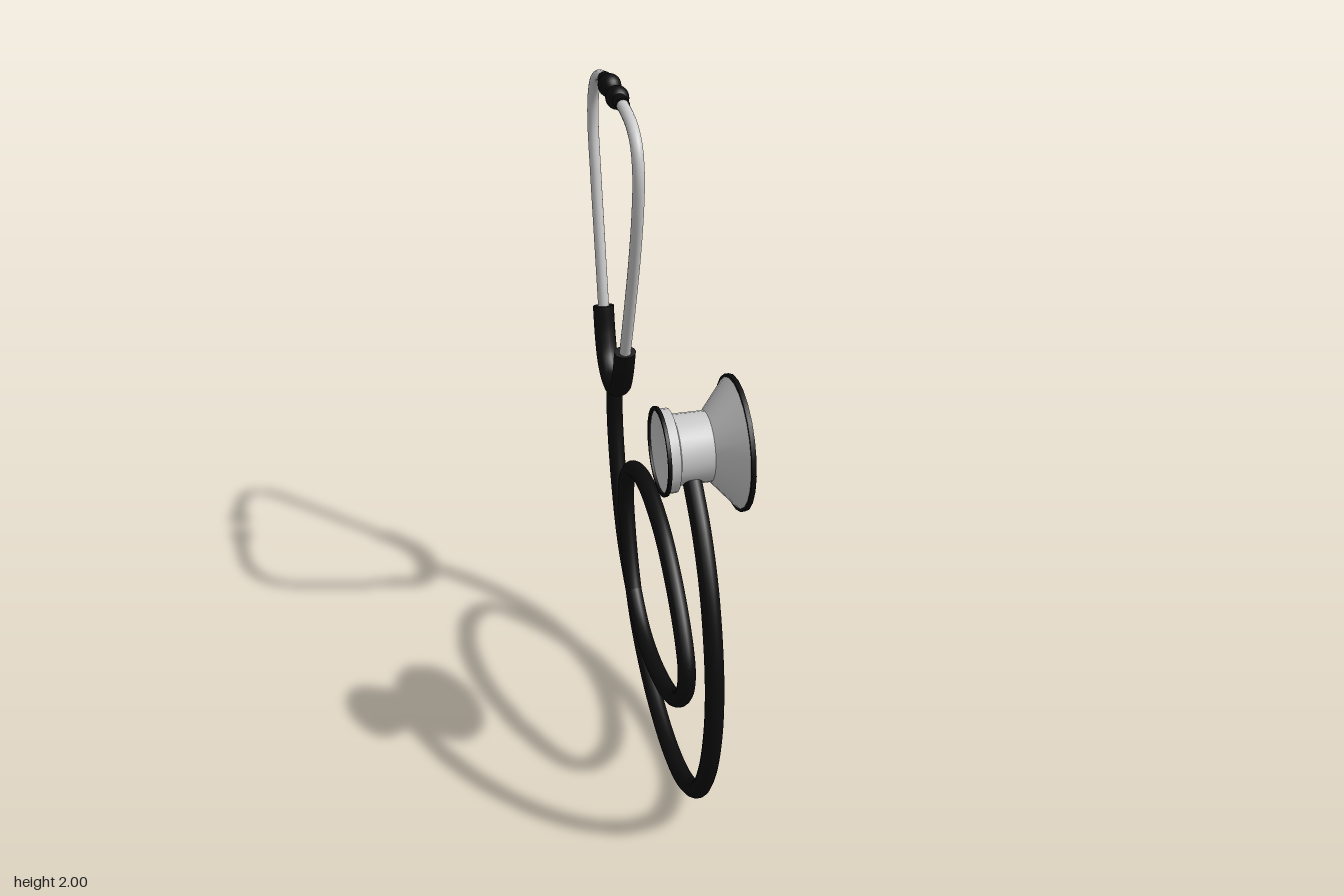
import * as THREE from 'three';
import { mergeGeometries, toCreasedNormals } from 'three/addons/utils/BufferGeometryUtils.js';

const metal = new THREE.MeshStandardMaterial({ color: 0xcccccc });
const rubber = new THREE.MeshStandardMaterial({ color: 0x0c0c0c });

// Capped round tube through [z, y] points in the x = 0 plane
function tube(name, pts, radius, segments, material) {
  const curve = new THREE.CatmullRomCurve3(pts.map(([z, y]) => new THREE.Vector3(0, y, z)), false, 'centripetal');
  const parts = [new THREE.TubeGeometry(curve, segments, radius, 14)];
  for (const t of [0, 1]) {
    const dir = curve.getTangentAt(t).multiplyScalar(t ? 1 : -1);
    const cap = new THREE.CircleGeometry(radius, 14);
    cap.applyQuaternion(new THREE.Quaternion().setFromUnitVectors(new THREE.Vector3(0, 0, 1), dir));
    const p = curve.getPointAt(t);
    cap.translate(p.x, p.y, p.z);
    parts.push(cap);
  }
  const mesh = new THREE.Mesh(mergeGeometries(parts), material);
  mesh.name = name;
  return mesh;
}

// Turned part whose axis runs along x; profile is [radius, x]
function turned(name, profile, material) {
  const lathe = new THREE.LatheGeometry(profile.map(([r, x]) => new THREE.Vector2(r, x)), 24);
  lathe.rotateZ(-Math.PI / 2);
  const mesh = new THREE.Mesh(toCreasedNormals(lathe, 0.5), material);
  mesh.name = name;
  return mesh;
}

// Soft ear tip with its short sleeve; dir is the z direction toward the sleeve
function earTip(name, z, y, dir) {
  const group = new THREE.Group();
  group.name = name;
  const bulb = new THREE.Mesh(new THREE.SphereGeometry(0.036, 20, 14), rubber);
  bulb.scale.z = 1.12;
  const sleeve = new THREE.Mesh(new THREE.CylinderGeometry(0.022, 0.022, 0.075, 14), rubber);
  sleeve.rotation.x = Math.PI / 2;
  sleeve.position.z = dir * 0.038;
  group.add(bulb, sleeve);
  group.position.set(0, y, z);
  return group;
}

export function createModel() {
  const model = new THREE.Group();
  model.name = 'stethoscope';

  // Everything but the chest piece lies in one plane
  const tubing = new THREE.Group();
  tubing.name = 'tubing';
  tubing.position.x = -0.033;
  model.add(tubing);

  // Long hose: down from the yoke, once around the loop, then up to the chest piece
  tubing.add(tube('hose', [
    [-0.515, 0.94], [-0.51, 0.80], [-0.46, 0.60], [-0.377, 0.425], [-0.25, 0.302],
    [-0.127, 0.227], [0.005, 0.202], [0.165, 0.217], [0.297, 0.26], [0.403, 0.334],
    [0.461, 0.414], [0.472, 0.493], [0.43, 0.578], [0.329, 0.684], [0.191, 0.775],
    [0.058, 0.817], [-0.048, 0.828], [-0.154, 0.812], [-0.26, 0.764], [-0.329, 0.69],
    [-0.35, 0.61], [-0.324, 0.477], [-0.26, 0.324], [-0.18, 0.217], [-0.048, 0.122],
    [0.111, 0.058], [0.286, 0.032], [0.456, 0.058], [0.615, 0.154], [0.716, 0.308],
    [0.769, 0.493], [0.775, 0.653], [0.748, 0.80], [0.695, 0.944], [0.615, 1.066],
    [0.505, 1.172],
  ], 0.0275, 260, rubber));

  // Yoke: flattened rubber fork holding both ear tubes
  const yoke = tube('yoke', [
    [-0.338, 1.152], [-0.371, 1.061], [-0.414, 0.992], [-0.467, 0.955], [-0.515, 0.946],
    [-0.568, 0.955], [-0.62, 0.997], [-0.652, 1.072], [-0.672, 1.165],
  ], 0.027, 48, rubber);
  yoke.scale.x = 1.32;
  tubing.add(yoke);

  // Metal ear tubes
  tubing.add(tube('frontEarTube', [
    [-0.355, 1.10], [-0.338, 1.148], [-0.27, 1.316], [-0.19, 1.528], [-0.138, 1.713],
    [-0.127, 1.82], [-0.149, 1.894], [-0.202, 1.936], [-0.286, 1.957], [-0.39, 1.963],
  ], 0.0185, 72, metal));
  tubing.add(tube('rearEarTube', [
    [-0.66, 1.11], [-0.669, 1.162], [-0.711, 1.369], [-0.759, 1.607], [-0.785, 1.767],
    [-0.769, 1.862], [-0.721, 1.926], [-0.647, 1.958], [-0.53, 1.968],
  ], 0.0185, 72, metal));
  tubing.add(earTip('frontEarTip', -0.406, 1.963, 1));
  tubing.add(earTip('rearEarTip', -0.515, 1.967, -1));

  // Chest piece: hollow bell on one side, flat diaphragm on the other
  const chest = new THREE.Group();
  chest.name = 'chestPiece';
  chest.position.set(0, 1.234, 0.445);
  chest.add(turned('body', [
    [0, -0.075], [0.118, -0.108], [0.118, -0.076], [0.1, -0.07], [0.1, 0.024],
    [0.187, 0.1], [0.187, 0.109], [0, 0.109],
  ], metal));
  chest.add(turned('bellRim', [
    [0.116, -0.104], [0.116, -0.114], [0.126, -0.114], [0.126, -0.104], [0.116, -0.104],
  ], rubber));
  chest.add(turned('diaphragmRim', [
    [0.184, 0.098], [0.193, 0.098], [0.193, 0.111], [0.184, 0.111], [0.184, 0.098],
  ], rubber));
  model.add(chest);

  return model;
}
